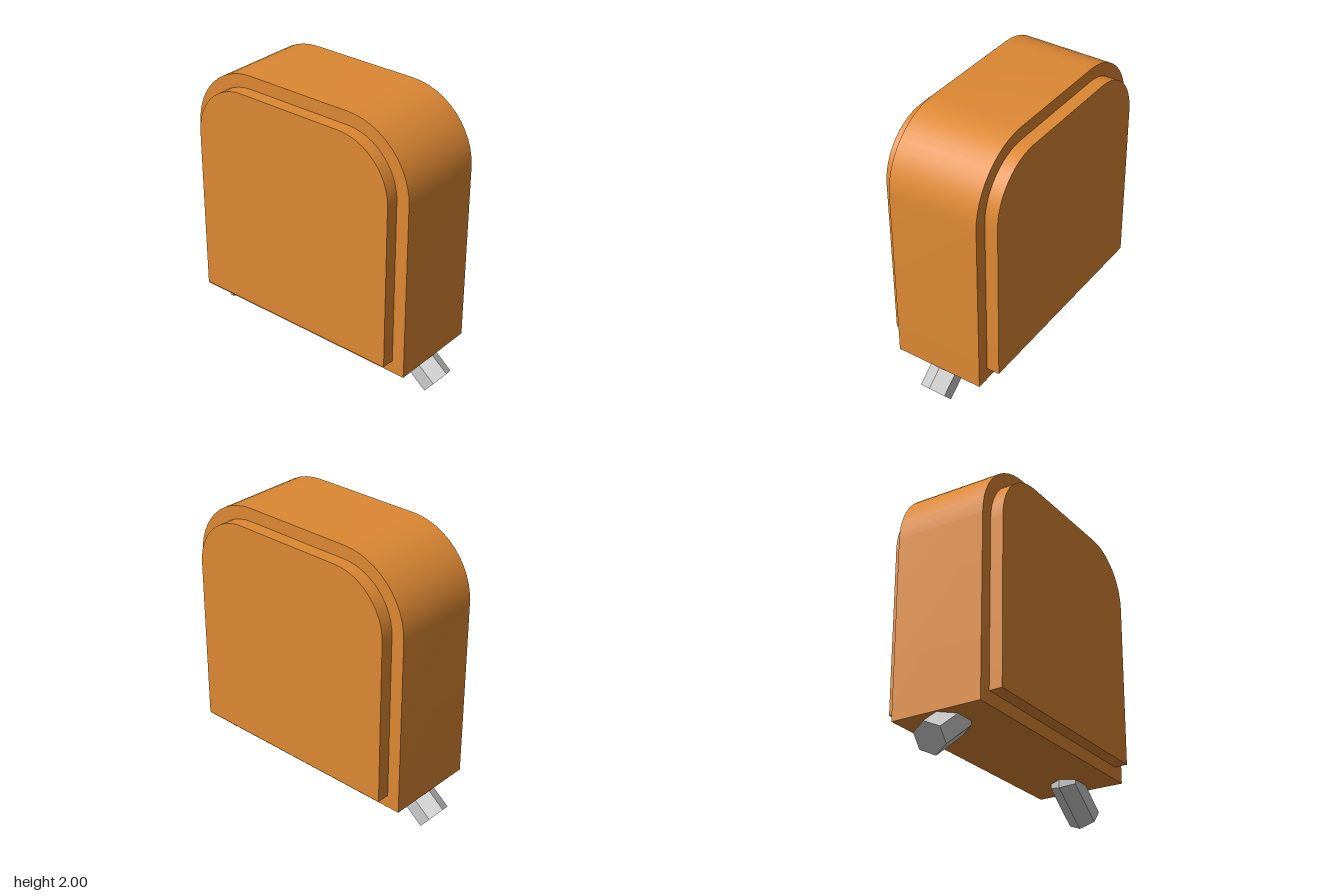
import * as THREE from 'three';
import { toCreasedNormals } from 'three/addons/utils/BufferGeometryUtils.js';

const orange = new THREE.MeshStandardMaterial({ color: 0xdd8833 });
const grey = new THREE.MeshStandardMaterial({ color: 0xcccccc, flatShading: true });

// Slab with a square bottom and two rounded top corners, centred on z = 0
function archSlab(name, halfWidth, bottom, top, radius, depth) {
  const shape = new THREE.Shape();
  shape.moveTo(-halfWidth, bottom);
  shape.lineTo(halfWidth, bottom);
  shape.lineTo(halfWidth, top - radius);
  shape.absarc(halfWidth - radius, top - radius, radius, 0, Math.PI / 2);
  shape.lineTo(-halfWidth + radius, top);
  shape.absarc(-halfWidth + radius, top - radius, radius, Math.PI / 2, Math.PI);
  shape.closePath();
  const geo = new THREE.ExtrudeGeometry(shape, { depth, bevelEnabled: false, curveSegments: 6 });
  geo.translate(0, 0, -depth / 2);
  const mesh = new THREE.Mesh(toCreasedNormals(geo, Math.PI / 6), orange);
  mesh.name = name;
  return mesh;
}

// Hexagonal bar that drops from the body and bends outward at a mitred joint
function bentLeg(name) {
  const tilt = THREE.MathUtils.degToRad(38.3);
  const miter = Math.tan((Math.PI / 2 - tilt) / 2);
  const geo = new THREE.CylinderGeometry(0.11, 0.11, 1, 6, 2, false, Math.PI / 2);
  const pos = geo.attributes.position;
  for (let i = 0; i < pos.count; i++) {
    const x = pos.getX(i), y = pos.getY(i), z = pos.getZ(i);
    if (y > 0.25) pos.setXYZ(i, 0.68 + x, 0.5, z);
    else if (y > -0.25) pos.setXYZ(i, 0.68 + x, 0.272 + x * miter, z);
    else pos.setXYZ(i, 0.91 + x * Math.sin(tilt), 0.09 + x * Math.cos(tilt), z);
  }
  geo.computeVertexNormals();
  const mesh = new THREE.Mesh(geo, grey);
  mesh.name = name;
  return mesh;
}

export function createModel() {
  const model = new THREE.Group();
  model.name = 'model';

  // Main body, and the inset panels standing proud of its front and back
  model.add(archSlab('body', 0.865, 0.275, 2, 0.47, 0.64));
  model.add(archSlab('facePanels', 0.775, 0.365, 1.91, 0.38, 0.82));

  // Splayed legs
  const leftLeg = bentLeg('leftLeg');
  const rightLeg = bentLeg('rightLeg');
  rightLeg.rotation.y = Math.PI;
  model.add(leftLeg, rightLeg);

  return model;
}
